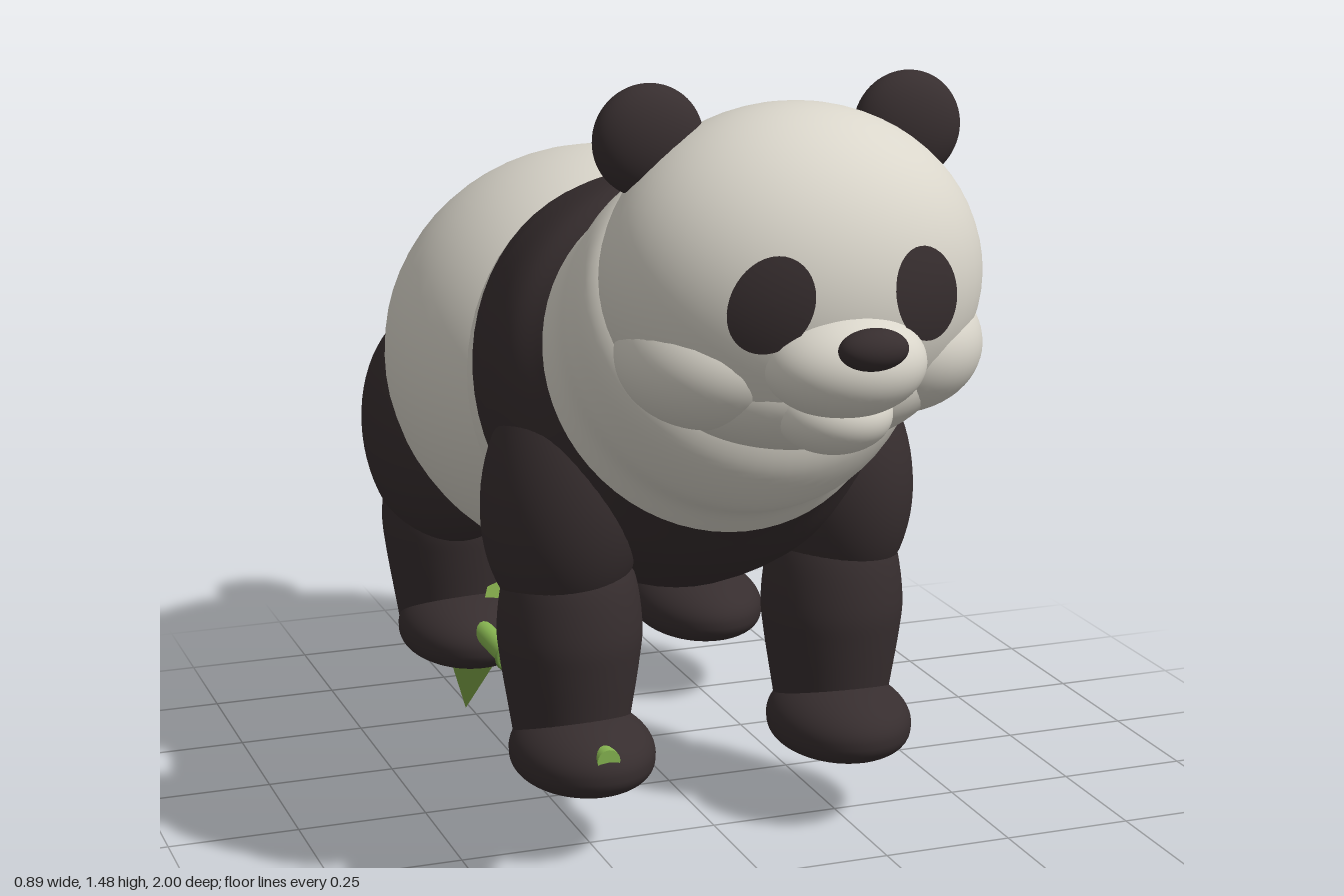
import * as THREE from 'three';

const mat = (name, color) => {
  const m = new THREE.MeshStandardMaterial({ color });
  m.name = name;
  return m;
};

export function createModel() {
  const model = new THREE.Group();
  model.name = 'panda';
  const white = mat('creamFur', 0xdad6cb);
  const black = mat('darkFur', 0x372e2f);
  const green = mat('stalkGreen', 0x86b450);
  const node = mat('nodeGreen', 0x6f9a42);
  const leafGreen = mat('leafGreen', 0x7fa548);
  leafGreen.side = THREE.DoubleSide;

  const add = (name, geometry, material, x = 0, y = 0, z = 0) => {
    const mesh = new THREE.Mesh(geometry, material);
    mesh.name = name;
    mesh.position.set(x, y, z);
    model.add(mesh);
    return mesh;
  };
  const ball = new THREE.SphereGeometry(1, 48, 32);
  const blob = (name, material, [x, y, z], [rx, ry, rz]) => {
    const mesh = add(name, ball, material, x, y, z);
    mesh.scale.set(rx, ry, rz);
    return mesh;
  };

  // Slanted elliptical rings, back to front: [topZ, topY, bottomZ, bottomY, halfWidth]
  const loft = (name, material, rings, steps = 24, sides = 64) => {
    const top = new THREE.CatmullRomCurve3(rings.map(r => new THREE.Vector3(r[4], r[1], r[0])));
    const low = new THREE.CatmullRomCurve3(rings.map(r => new THREE.Vector3(0, r[3], r[2])));
    const pos = [], index = [];
    for (let i = 0; i <= steps; i++) {
      const t = top.getPoint(i / steps), b = low.getPoint(i / steps);
      for (let j = 0; j < sides; j++) {
        const a = j / sides * Math.PI * 2, c = Math.cos(a) / 2;
        pos.push(t.x * Math.sin(a), (t.y + b.y) / 2 + c * (t.y - b.y), (t.z + b.z) / 2 + c * (t.z - b.z));
        if (i === steps) continue;
        const p = i * sides + j, q = i * sides + (j + 1) % sides;
        index.push(p, p + sides, q, q, p + sides, q + sides);
      }
    }
    const g = new THREE.BufferGeometry();
    g.setAttribute('position', new THREE.Float32BufferAttribute(pos, 3));
    g.setIndex(index);
    g.computeVertexNormals();
    return add(name, g, material);
  };

  // Trunk: round rear, dark shoulder band, white neck rolls
  blob('rearBody', white, [0, 0.79, -0.38], [0.44, 0.425, 0.54]);
  const bandBack = [-0.21, 1.19, 0.14, 0.45, 0.378];
  const bandFront = [0.12, 1.225, 0.41, 0.635, 0.335];
  loft('belly', white, [[-0.3, 1.17, -0.14, 0.46, 0.36], [-0.25, 1.18, -0.03, 0.44, 0.37], bandBack]);
  loft('shoulderBand', black, [
    bandBack, [-0.08, 1.225, 0.22, 0.485, 0.392], [0.05, 1.242, 0.32, 0.545, 0.38], bandFront,
  ]);
  loft('neck', white, [
    bandFront, [0.17, 1.255, 0.46, 0.68, 0.325], [0.24, 1.3, 0.54, 0.715, 0.328],
    [0.32, 1.31, 0.6, 0.785, 0.32], [0.38, 1.285, 0.62, 0.845, 0.29], [0.45, 1.2, 0.62, 0.92, 0.22],
  ], 32);
  blob('tail', white, [0, 0.915, -0.92], [0.082, 0.075, 0.08]);

  // Head
  const hc = [0, 1.15, 0.61], hr = [0.335, 0.295, 0.28];
  blob('head', white, hc, hr);
  blob('jaw', white, [0, 0.99, 0.66], [0.25, 0.13, 0.18]);
  blob('muzzle', white, [0, 1.045, 0.845], [0.14, 0.09, 0.115]);
  blob('chin', white, [0, 0.95, 0.8], [0.1, 0.068, 0.1]);
  blob('nose', black, [0, 1.093, 0.962], [0.06, 0.035, 0.038]);

  // Eye patch: a tilted oval laid over the curve of the head
  const eyePatch = s => {
    const g = new THREE.RingGeometry(0.0001, 1, 40, 8), p = g.attributes.position;
    const tilt = s * 0.4;
    for (let i = 0; i < p.count; i++) {
      const u = p.getX(i) * 0.064, v = p.getY(i) * 0.084;
      const x = s * 0.138 + u * Math.cos(tilt) - v * Math.sin(tilt);
      const y = 1.155 + u * Math.sin(tilt) + v * Math.cos(tilt);
      const d = 1 - (x / hr[0]) ** 2 - ((y - hc[1]) / hr[1]) ** 2;
      p.setXYZ(i, x, y, hc[2] + hr[2] * Math.sqrt(Math.max(d, 0)) + 0.006);
    }
    g.computeVertexNormals();
    return g;
  };

  // Lower leg profile, turned on a vertical axis
  const legProfile = new THREE.SplineCurve([
    [0.105, 0.17], [0.118, 0.25], [0.134, 0.35], [0.14, 0.42], [0.128, 0.51], [0.1, 0.58],
  ].map(([r, y]) => new THREE.Vector2(r, y))).getPoints(24);
  const legGeometry = new THREE.LatheGeometry(legProfile, 40);

  // Foot: rounded above, flatter below
  const footGeometry = ball.clone();
  const fp = footGeometry.attributes.position;
  for (let i = 0; i < fp.count; i++) {
    const y = fp.getY(i);
    fp.setY(i, y < 0 ? -Math.pow(-y, 0.75) * 0.85 : y);
  }
  footGeometry.computeVertexNormals();

  for (const s of [1, -1]) {
    const side = s > 0 ? 'left' : 'right';
    add(side + 'EyePatch', eyePatch(s), black);
    blob(side + 'Ear', black, [s * 0.238, 1.383, 0.55], [0.098, 0.097, 0.058]);
    blob(side + 'Cheek', white, [s * 0.17, 1.03, 0.65], [0.155, 0.125, 0.17]);

    // Front leg
    const upper = blob(side + 'Shoulder', black, [s * 0.265, 0.665, 0.165], [0.155, 0.25, 0.178]);
    upper.rotation.z = s * 0.12;
    add(side + 'FrontLeg', legGeometry, black, s * 0.265, 0, 0.185).scale.x = 0.97;
    const paw = add(side + 'FrontPaw', footGeometry, black, s * 0.26, 0.19, 0.238);
    paw.scale.set(0.134, 0.083, 0.167);

    // Hind leg
    const thigh = blob(side + 'Thigh', black, [s * 0.275, 0.61, -0.61], [0.17, 0.255, 0.225]);
    thigh.rotation.x = -0.35;
    add(side + 'HindLeg', legGeometry, black, s * 0.268, 0, -0.62).scale.z = 1.04;
    const foot = add(side + 'HindPaw', footGeometry, black, s * 0.26, 0.19, -0.545);
    foot.scale.set(0.134, 0.083, 0.183);
  }

  // Bamboo stalk held by the right paws
  const bx = -0.26, by = 0.22;
  const stalk = add('bambooStalk', new THREE.CylinderGeometry(0.022, 0.022, 0.87, 16), green, bx, by, -0.04);
  stalk.rotation.x = Math.PI / 2;
  for (const z of [0.18, -0.02, -0.225, -0.43]) {
    add('bambooNode', new THREE.TorusGeometry(0.023, 0.006, 8, 20), node, bx, by, z);
  }

  // Pointed leaves: flat diamonds from base to tip
  const leaf = (name, base, tip, across) => {
    const b = new THREE.Vector3(...base), t = new THREE.Vector3(...tip), w = new THREE.Vector3(...across);
    const m = b.clone().lerp(t, 0.4);
    const g = new THREE.BufferGeometry().setFromPoints([b, m.clone().add(w), t, m.clone().sub(w)]);
    g.setIndex([0, 1, 2, 0, 2, 3]);
    g.computeVertexNormals();
    add(name, g, leafGreen);
  };
  leaf('lowerLeaf', [bx, 0.22, -0.42], [bx, 0.005, -0.545], [0.05, 0, 0]);
  leaf('sideLeaf', [bx, 0.2, -0.45], [-0.095, 0.315, -0.53], [0.03, -0.04, 0.01]);

  return model;
}
